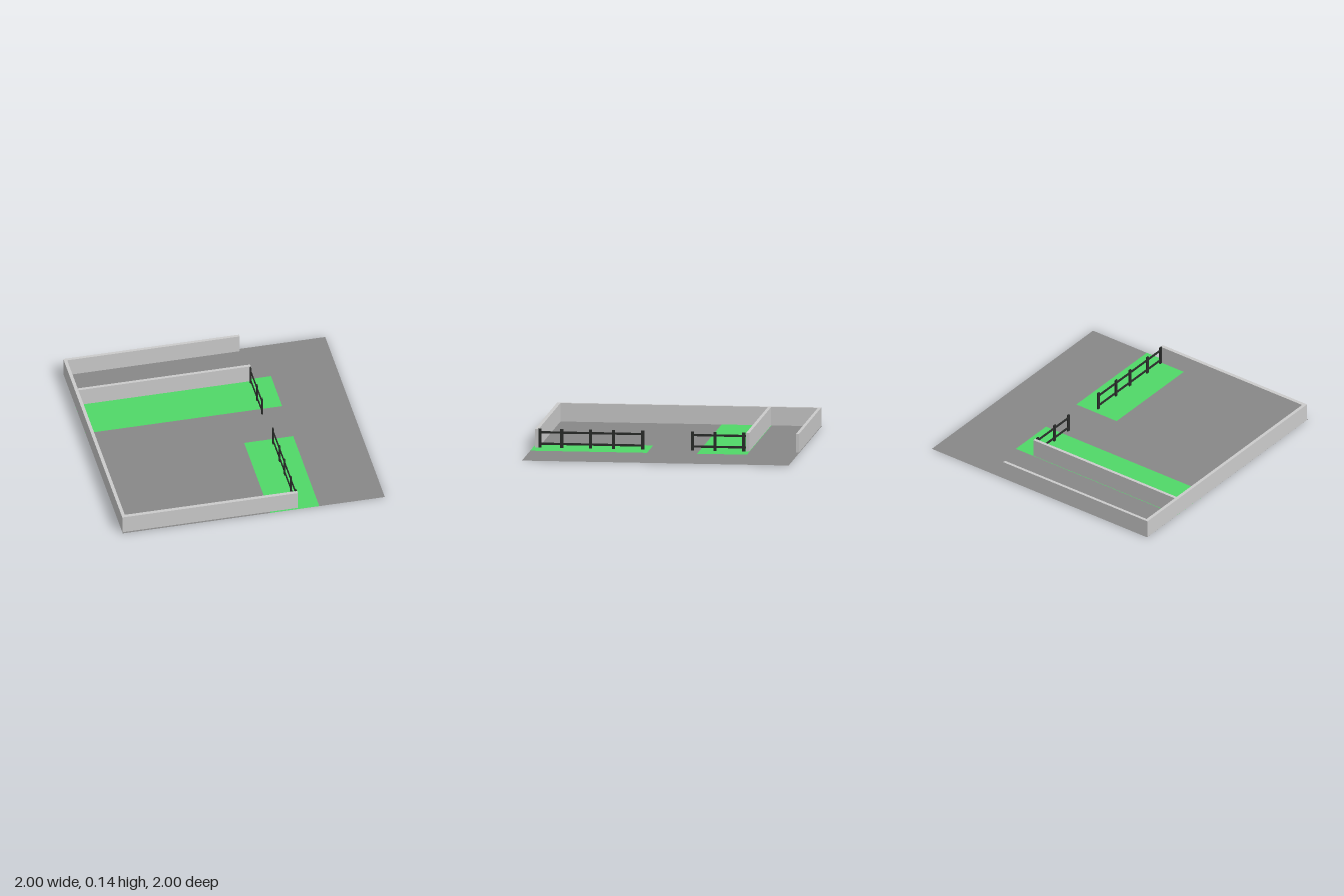
import * as THREE from 'three';

const wallMat = new THREE.MeshStandardMaterial({ color: 0xcccccc });
const groundMat = new THREE.MeshStandardMaterial({ color: 0x888888, side: THREE.DoubleSide });
const grassMat = new THREE.MeshStandardMaterial({ color: 0x50d868, side: THREE.DoubleSide });
const fenceMat = new THREE.MeshStandardMaterial({ color: 0x2a2c2a });

const GROUND_Y = 0.001;

// Box given by its limits on each axis
function box(name, mat, x0, x1, y0, y1, z0, z1) {
  const mesh = new THREE.Mesh(new THREE.BoxGeometry(x1 - x0, y1 - y0, z1 - z0), mat);
  mesh.position.set((x0 + x1) / 2, (y0 + y1) / 2, (z0 + z1) / 2);
  mesh.name = name;
  return mesh;
}

// Rectangle outline in the ground plane (shape y is -z)
function rectangle(Outline, x0, x1, z0, z1) {
  const outline = new Outline();
  outline.moveTo(x0, -z1);
  outline.lineTo(x1, -z1);
  outline.lineTo(x1, -z0);
  outline.lineTo(x0, -z0);
  outline.closePath();
  return outline;
}

function flat(name, shapes, mat) {
  const mesh = new THREE.Mesh(new THREE.ShapeGeometry(shapes).rotateX(-Math.PI / 2), mat);
  mesh.position.y = GROUND_Y;
  mesh.name = name;
  return mesh;
}

// Posts at the given z positions joined by two rails
function fence(name, posts, railStart, railEnd) {
  const group = new THREE.Group();
  group.name = name;
  for (const z of posts) {
    group.add(box('fencePost', fenceMat, 0.328, 0.339, 0, 0.142, z - 0.011, z + 0.011));
  }
  for (const y of [0.03, 0.116]) {
    group.add(box('fenceRail', fenceMat, 0.33, 0.337, y - 0.008, y + 0.008, railStart, railEnd));
  }
  return group;
}

export function createModel() {
  const model = new THREE.Group();
  model.name = 'walledYard';

  // Ground split around the two grass strips, which lie flush with it
  model.add(flat('ground', [
    rectangle(THREE.Shape, -1, 1, -1, -0.625),
    rectangle(THREE.Shape, 0.5, 1, -0.625, 1),
    rectangle(THREE.Shape, -1, 0.5, -0.25, 0.125),
    rectangle(THREE.Shape, -1, 0.125, 0.125, 1),
  ], groundMat));
  model.add(flat('longGrassStrip', rectangle(THREE.Shape, -1, 0.5, -0.625, -0.25), grassMat));
  model.add(flat('frontGrassStrip', rectangle(THREE.Shape, 0.125, 0.5, 0.125, 1), grassMat));

  // Side wall with three walls running off it
  const y0 = 0.0015, y1 = 0.14;
  model.add(box('sideWall', wallMat, -1, -0.975, y0, y1, -0.995, 0.986));
  const walls = { backWall: [-0.995, -0.972], middleWall: [-0.622, -0.598], frontWall: [0.958, 0.986] };
  for (const [name, [z0, z1]] of Object.entries(walls)) {
    model.add(box(name, wallMat, -0.975, 0.34, y0, y1, z0, z1));
  }

  // Fences on either side of the entrance gap
  model.add(fence('frontFence', [0.178, 0.397, 0.568, 0.785, 0.95], 0.178, 0.958));
  model.add(fence('backFence', [-0.195, -0.365, -0.58], -0.598, -0.195));
  return model;
}
